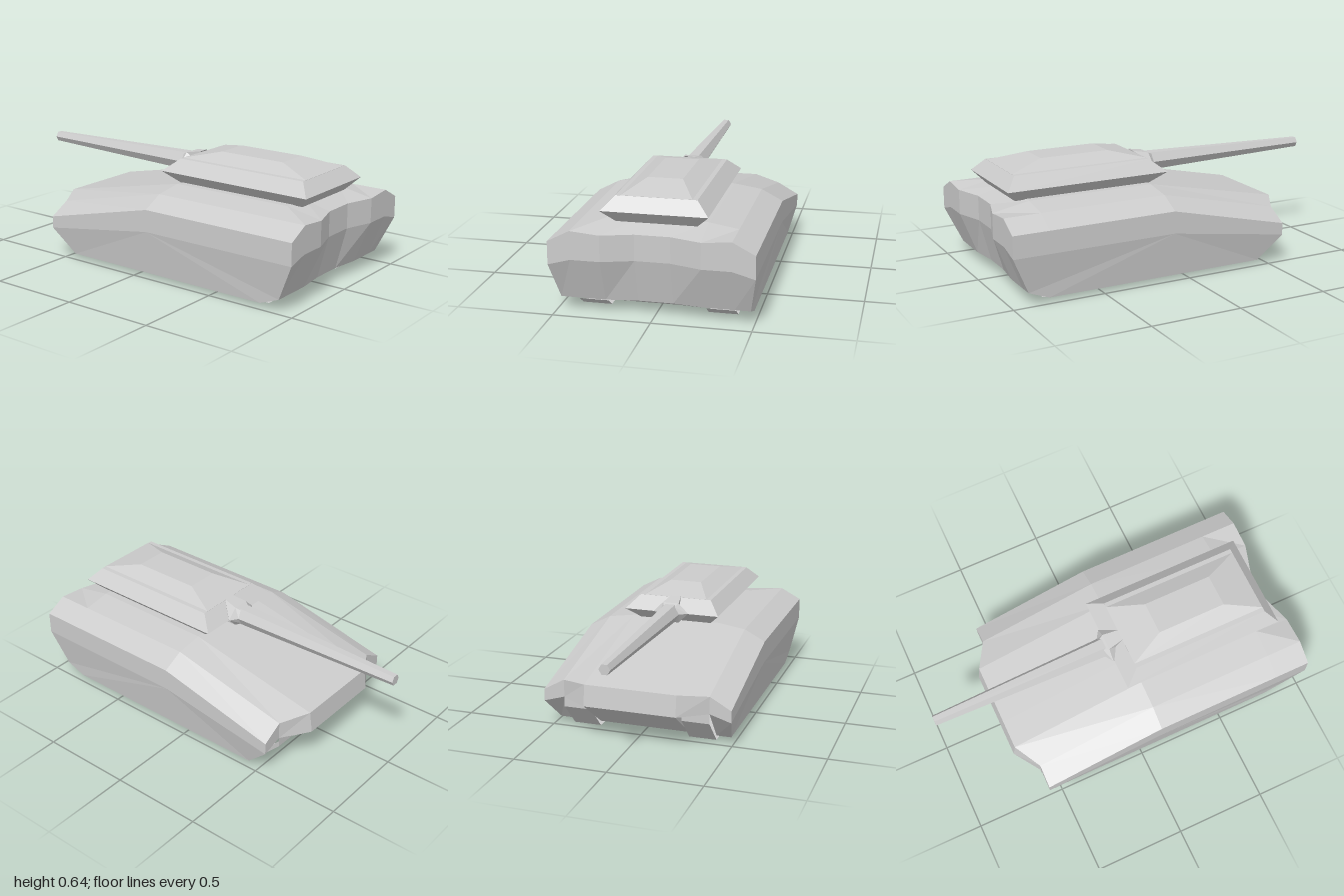
import * as THREE from 'three';

const material = new THREE.MeshStandardMaterial({ color: 0xcccccc, flatShading: true, side: THREE.DoubleSide });

// Faceted mesh from polygons, each fanned from its first corner
function polyMesh(name, polygons) {
  const pos = [];
  for (const p of polygons) {
    for (let i = 1; i < p.length - 1; i++) pos.push(...p[0], ...p[i], ...p[i + 1]);
  }
  const geo = new THREE.BufferGeometry();
  geo.setAttribute('position', new THREE.Float32BufferAttribute(pos, 3));
  geo.computeVertexNormals();
  const mesh = new THREE.Mesh(geo, material);
  mesh.name = name;
  return mesh;
}

// Quads between successive rows of points
function loft(rows, skip = () => false) {
  const quads = [];
  for (let j = 0; j < rows.length - 1; j++) {
    for (let i = 0; i < rows[j].length - 1; i++) {
      if (!skip(i, j)) quads.push([rows[j][i], rows[j][i + 1], rows[j + 1][i + 1], rows[j + 1][i]]);
    }
  }
  return quads;
}

// The same polygons on the other side, with corners reversed
const mirror = (polys) => polys.map((p) => p.map(([x, y, z]) => [-x, y, z]).reverse());

// Rectangular ring at height y
const ring = (x, y, zr, zf) => [[-x, y, zr], [x, y, zr], [x, y, zf], [-x, y, zf], [-x, y, zr]];

function createHull() {
  // Half columns from outside to centre, rows running over the deck from rear to front
  const half = [
    [[.48, .025, .8], [.4, .025, .8], [.25, .025, .8], [.09, .025, .8]],
    [[.48, .067, .91], [.4, .067, .91], [.25, .067, .91], [.09, .067, .89]],
    [[.515, .265, 1], [.4, .297, 1], [.25, .297, 1], [.09, .297, .95]],
    [[.515, .385, 1], [.4, .445, 1], [.25, .432, 1], [.09, .432, .95]],
    [[.515, .385, .8], [.4, .445, .8], [.25, .47, .8], [.09, .47, .8]],
    [[.515, .385, .1], [.4, .445, .1], [.25, .468, .1], [.09, .468, .1]],
    [[.515, .225, -.575], [.4, .29, -.575], [.25, .31, -.66], [.09, .31, -.66]],
    [[.515, .16, -.575], [.4, .195, -.575], [.25, .195, -.675], [.09, .195, -.675]],
    [[.48, .025, -.44], [.4, .025, -.44], [.25, .025, -.44], [.09, .025, -.44]],
  ];
  half.push(half[0]);
  const rows = half.map((r) => [...r.map(([x, y, z]) => [-x, y, z]), ...[...r].reverse()]);
  // The track bays stay open below the nose
  const shell = loft(rows, (i, j) => j === 7 && (i === 1 || i === 5));

  // Flanks, folded along the widest line, and the walls of the track bays
  const o = half.map((r) => r[0]);
  const fold = [.515, .265, .1];
  const side = [
    [o[3], o[2], fold, o[5], o[4]],
    [o[5], fold, o[7], o[6]],
    [o[2], o[1], fold], [o[1], o[0], fold], [o[0], o[8], fold], [o[8], o[7], fold],
    [[.25, .025, -.44], [.25, .195, -.675], [.25, .195, -.575]],
    [[.4, .195, -.575], [.25, .195, -.575], [.25, .195, -.675]],
  ];
  return polyMesh('hull', [...shell, ...side, ...mirror(side)]);
}

function createTrack(s) {
  // Open belt under the hull, listed as height and depth
  const path = [[.045, .865], [0, .8], [0, -.44], [.14, -.575], [.2, -.575]];
  const track = polyMesh('track', loft(path.map(([y, z]) => [[s * .325 - .075, y, z], [s * .325 + .075, y, z]])).map((q) => q.reverse()));
  track.name = s > 0 ? 'leftTrack' : 'rightTrack';
  return track;
}

function createTurret() {
  return polyMesh('turret', loft([
    ring(0, .465, .48, .48),
    ring(.205, .465, .86, .09),
    ring(.27, .53, .92, .01),
    ring(.205, .597, .86, .09),
    ring(.18, .598, .86, .09),
    ring(.09, .642, .665, .28),
    ring(0, .642, .48, .48),
  ]));
}

function createMantlet() {
  // Hexagonal collar: half width, half flat width, half height, depth
  const rows = [[.03, .03, .07, .09], [.1, .045, .055, .005], [.055, .03, .04, -.025], [0, 0, 0, -.025]]
    .map(([w, f, h, z]) => [[w, 0], [f, h], [-f, h], [-w, 0], [-f, -h], [f, -h], [w, 0]]
      .map(([x, y]) => [x, .533 + y, z]));
  return polyMesh('mantlet', loft(rows).map((q) => q.reverse()));
}

function createBarrel() {
  const geo = new THREE.CylinderGeometry(.03, .057, 1.02, 6);
  geo.rotateY(Math.PI / 6).rotateX(-Math.PI / 2);
  const barrel = new THREE.Mesh(geo, material);
  barrel.position.set(0, .533, -.49);
  barrel.name = 'gunBarrel';
  return barrel;
}

export function createModel() {
  const model = new THREE.Group();
  model.name = 'tank';
  model.add(createHull(), createTrack(1), createTrack(-1), createTurret(), createMantlet(), createBarrel());
  return model;
}
